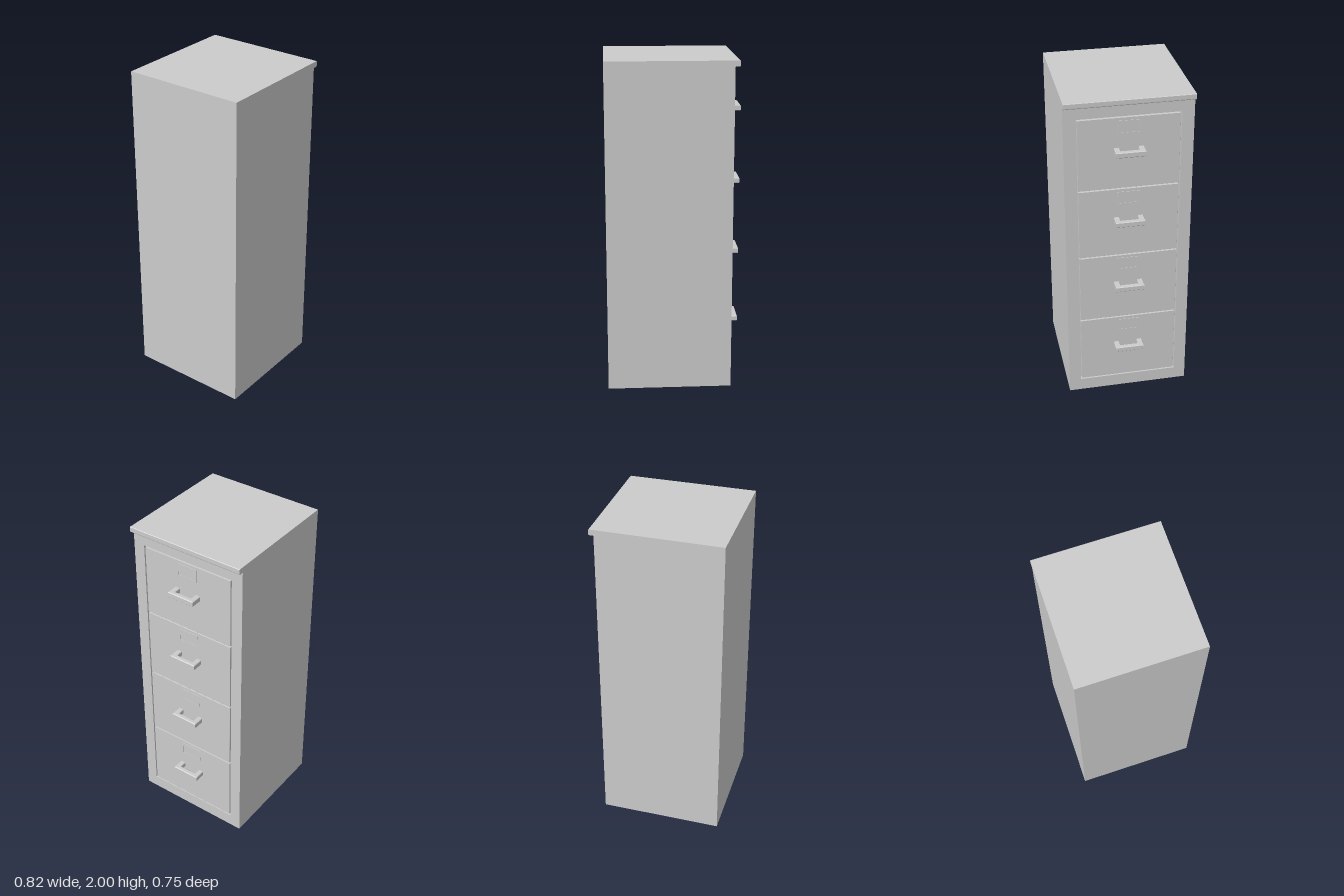
import * as THREE from 'three';
import { RoundedBoxGeometry } from 'three/addons/geometries/RoundedBoxGeometry.js';

const BACK = -0.41, FRONT = 0.34, HALF_W = 0.375, TOP = 2, LIP_Y = 1.965;
const BAY = { half: 0.304, bottom: 0.081, top: 1.889 }; // opening for the drawers
const PITCH = 0.45, GAP = 0.008, RECESS = 0.03;

const material = new THREE.MeshStandardMaterial({ color: 0xcccccc });

function part(name, geometry, x = 0, y = 0, z = 0) {
  const mesh = new THREE.Mesh(geometry, material);
  mesh.name = name;
  mesh.position.set(x, y, z);
  return mesh;
}

function block(name, x0, x1, y0, y1, halfZ) {
  return part(name, new THREE.BoxGeometry(x1 - x0, y1 - y0, halfZ * 2), (x0 + x1) / 2, (y0 + y1) / 2);
}

function rectangle(x0, y0, x1, y1, Type = THREE.Shape) {
  return new Type([[x0, y0], [x1, y0], [x1, y1], [x0, y1]].map(p => new THREE.Vector2(...p)));
}

// Front frame surrounding the drawer bay
function faceFrame() {
  const shape = rectangle(-HALF_W, 0, HALF_W, LIP_Y);
  shape.holes.push(rectangle(-BAY.half, BAY.bottom, BAY.half, BAY.top, THREE.Path));
  const geo = new THREE.ExtrudeGeometry(shape, { depth: RECESS, bevelEnabled: false });
  geo.rotateY(Math.PI / 2);
  return part('faceFrame', geo, FRONT - RECESS);
}

// Top slab whose front edge overhangs the drawers
function topPanel() {
  const nose = 0.37, r = 0.008;
  const shape = new THREE.Shape();
  shape.moveTo(BACK, LIP_Y);
  shape.lineTo(nose - r, LIP_Y);
  shape.quadraticCurveTo(nose, LIP_Y, nose, LIP_Y + r);
  shape.lineTo(nose, TOP - 0.003);
  shape.lineTo(nose - 0.003, TOP);
  shape.lineTo(BACK, TOP);
  const geo = new THREE.ExtrudeGeometry(shape, { depth: HALF_W * 2, bevelEnabled: false, curveSegments: 4 });
  return part('topPanel', geo, 0, 0, -HALF_W);
}

// U-shaped pull, drawn in plan and extruded upward
function handle(y) {
  const bevel = 0.004, h = 0.034, outer = 0.088 - bevel, inner = 0.055 + bevel;
  const tip = 0.41 - bevel, grip = 0.382 + bevel, root = FRONT - 0.01;
  const shape = new THREE.Shape([
    [root, -outer], [tip, -outer], [tip, outer], [root, outer],
    [root, inner], [grip, inner], [grip, -inner], [root, -inner],
  ].map(p => new THREE.Vector2(...p)));
  const geo = new THREE.ExtrudeGeometry(shape, {
    depth: h - 2 * bevel, bevelSize: bevel, bevelThickness: bevel, bevelSegments: 1,
  });
  geo.rotateX(-Math.PI / 2);
  return part('handle', geo, 0, y - h / 2 + bevel);
}

// Thin raised label holder with a recessed card
function labelHolder(yTop) {
  const group = new THREE.Group();
  group.name = 'labelHolder';
  const half = 0.068, h = 0.08, rim = 0.006;
  const shape = rectangle(-half, 0, half, h);
  shape.holes.push(rectangle(-half + rim, rim, half - rim, h - rim, THREE.Path));
  const geo = new THREE.ExtrudeGeometry(shape, { depth: 0.003, bevelEnabled: false });
  geo.rotateY(Math.PI / 2);
  group.add(part('labelFrame', geo, FRONT, yTop - h));
  group.add(block('labelCard', FRONT - 0.002, FRONT + 0.001, yTop - h + rim, yTop - rim, half - rim));
  return group;
}

function drawer(index) {
  const group = new THREE.Group();
  group.name = 'drawer' + (index + 1);
  const bottom = 0.085 + index * PITCH, top = bottom + PITCH;
  const front = new RoundedBoxGeometry(RECESS, PITCH - GAP, (BAY.half - GAP) * 2, 1, 0.001);
  group.add(part('drawerFront', front, FRONT - RECESS / 2, (bottom + top) / 2));
  group.add(handle(bottom + 0.245));
  group.add(labelHolder(top - 0.022));
  return group;
}

export function createModel() {
  const cabinet = new THREE.Group();
  cabinet.name = 'filingCabinet';
  cabinet.add(block('cabinetBody', BACK, FRONT - RECESS, 0, LIP_Y, HALF_W));
  cabinet.add(faceFrame(), topPanel());
  for (let i = 0; i < 4; i++) cabinet.add(drawer(i));
  return cabinet;
}
